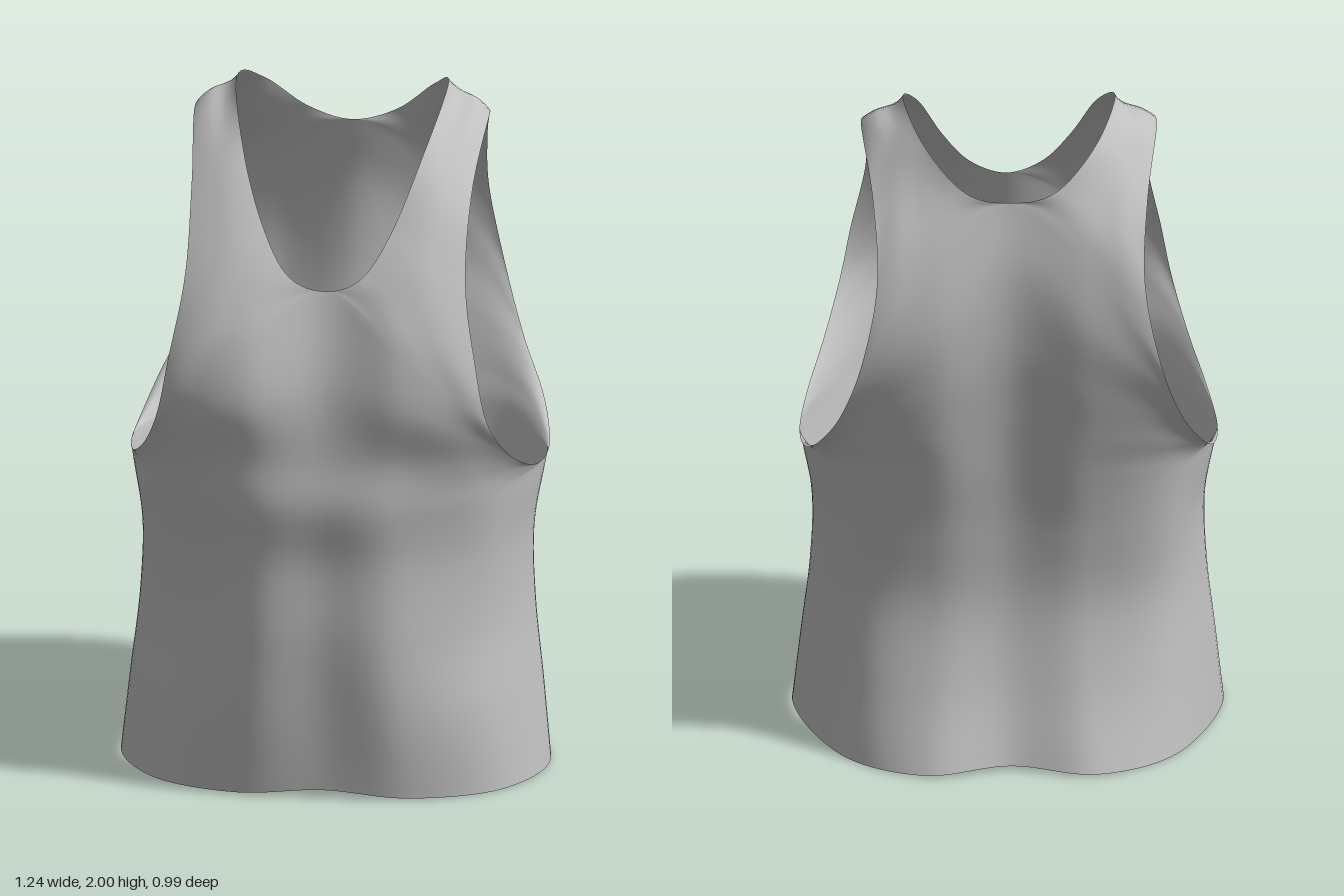
import * as THREE from 'three';
import { mergeVertices } from 'three/addons/utils/BufferGeometryUtils.js';

const ROWS = 12;    // guide stations from hem (0) to shoulder seam (11)
const ARMPIT = 4;   // station where the side seam opens into the armhole
const STEPS_V = 8, STEPS_U = 10;

const points = (...n) => {
  const out = [];
  for (let i = 0; i < n.length; i += 3) out.push(new THREE.Vector3(n[i], n[i + 1], n[i + 2]));
  return out;
};
const flipX = (p) => new THREE.Vector3(-p.x, p.y, p.z);
// continues the line b -> a beyond a
const beyond = (a, b) => a.clone().multiplyScalar(2).sub(b);
// continues the bend c -> b -> a beyond a
const beyondBend = (a, b, c) => a.clone().sub(b).multiplyScalar(3).add(c);

function spline(p0, p1, p2, p3, t) {
  const f = (a, b, c, d) =>
    b + 0.5 * t * (c - a + t * (2 * a - 5 * b + 4 * c - d + t * (3 * (b - c) + d - a)));
  return new THREE.Vector3(f(p0.x, p1.x, p2.x, p3.x), f(p0.y, p1.y, p2.y, p3.y), f(p0.z, p1.z, p2.z, p3.z));
}

// side seam shared by the front and back panels
const seam = [0.62, 0.01, 0.05, 0.595, 0.25, 0.02, 0.57, 0.48, 0, 0.565, 0.7, -0.01, 0.6, 0.915, -0.03];
const strapTop = [[0.305, 2, -0.12], [0.337, 1.963, -0.12], [0.388, 1.945, -0.12], [0.425, 1.912, -0.12]];

// each panel: four upright guides from centre / neckline out to side / armhole
const front = {
  neck: 7,
  guides: [
    points(0, 0.03, 0.435, 0, 0.27, 0.452, 0, 0.5, 0.465, 0, 0.72, 0.462, 0, 0.9, 0.487, 0, 1.04, 0.471,
      0, 1.26, 0.447, 0, 1.53, 0.365, 0.105, 1.57, 0.362, 0.185, 1.69, 0.29, 0.255, 1.86, 0.15, ...strapTop[0]),
    points(0.25, 0.012, 0.43, 0.23, 0.25, 0.455, 0.22, 0.48, 0.458, 0.22, 0.72, 0.452, 0.22, 0.9, 0.47, 0.22, 1.04, 0.469,
      0.22, 1.21, 0.497, 0.22, 1.38, 0.467, 0.235, 1.5, 0.415, 0.265, 1.65, 0.325, 0.305, 1.84, 0.16, ...strapTop[1]),
    points(0.505, 0.005, 0.305, 0.48, 0.24, 0.3, 0.465, 0.47, 0.268, 0.465, 0.7, 0.27, 0.465, 0.91, 0.318, 0.435, 1.02, 0.385,
      0.405, 1.14, 0.45, 0.385, 1.26, 0.472, 0.35, 1.41, 0.447, 0.335, 1.6, 0.345, 0.355, 1.81, 0.168, ...strapTop[2]),
    points(...seam, 0.575, 0.945, 0.15, 0.522, 1.04, 0.32, 0.476, 1.17, 0.432, 0.445, 1.33, 0.437,
      0.405, 1.56, 0.347, 0.405, 1.78, 0.168, ...strapTop[3]),
  ],
};
const back = {
  neck: 8,
  guides: [
    points(0, 0.02, -0.43, 0, 0.25, -0.36, 0, 0.48, -0.322, 0, 0.72, -0.335, 0, 0.95, -0.37, 0, 1.13, -0.4,
      0, 1.35, -0.428, 0, 1.58, -0.425, 0, 1.785, -0.382, 0.13, 1.82, -0.388, 0.245, 1.93, -0.31, ...strapTop[0]),
    points(0.25, 0.01, -0.47, 0.23, 0.24, -0.385, 0.22, 0.48, -0.335, 0.22, 0.71, -0.355, 0.22, 0.93, -0.4, 0.23, 1.07, -0.432,
      0.22, 1.24, -0.465, 0.22, 1.43, -0.482, 0.22, 1.64, -0.447, 0.25, 1.76, -0.4, 0.305, 1.91, -0.285, ...strapTop[1]),
    points(0.485, 0.005, -0.315, 0.465, 0.24, -0.28, 0.455, 0.48, -0.253, 0.46, 0.7, -0.27, 0.47, 0.91, -0.305, 0.455, 1.02, -0.365,
      0.42, 1.14, -0.427, 0.385, 1.29, -0.48, 0.345, 1.48, -0.49, 0.33, 1.68, -0.437, 0.355, 1.86, -0.295, ...strapTop[2]),
    points(...seam, 0.59, 0.93, -0.19, 0.555, 1.0, -0.325, 0.49, 1.13, -0.425, 0.428, 1.33, -0.49,
      0.385, 1.57, -0.47, 0.395, 1.78, -0.345, ...strapTop[3]),
  ],
};

// adds outer helper guides so the panels join smoothly at centre and side seam
function withHelpers(panel, other) {
  const [c, a, b, s] = panel.guides;
  const inner = c.map((p, i) => (i <= panel.neck ? flipX(a[i]) : beyondBend(p, a[i], b[i])));
  const outer = s.map((p, i) => (i <= ARMPIT ? other.guides[2][i].clone() : beyondBend(p, b[i], a[i])));
  return [inner, c, a, b, s, outer];
}

// point on a guide; at its corner station the guide turns, leaving as if it came from corner.before
function along(guide, next, row, t, corner) {
  const p1 = guide[row], p2 = guide[row + 1];
  let p0 = row === 0 ? beyond(p1, p2) : guide[row - 1];
  let p3 = row + 2 < ROWS ? guide[row + 2] : next[ROWS - 2];
  if (corner && row === corner.row) p0 = corner.before;
  if (corner && row + 1 === corner.row) p3 = beyond(p2, p1);
  return spline(p0, p1, p2, p3, t);
}

function addPanel(panel, other, positions, indices) {
  const guides = withHelpers(panel, other), otherGuides = withHelpers(other, panel);
  const neckCorner = { row: panel.neck, before: flipX(guides[1][panel.neck + 1]) };
  const armCorner = { row: ARMPIT, before: otherGuides[4][ARMPIT + 1] };
  const corners = [null, neckCorner, null, null, armCorner, null];
  const grid = [];
  const total = (ROWS - 1) * STEPS_V;
  for (let j = 0; j <= total; j++) {
    const row = Math.min(Math.floor(j / STEPS_V), ROWS - 2);
    const k = guides.map((g, i) => along(g, otherGuides[i], row, j / STEPS_V - row, corners[i]));
    for (let i = 0; i <= 3 * STEPS_U; i++) {
      const span = Math.min(Math.floor(i / STEPS_U), 2);
      grid.push(spline(k[span], k[span + 1], k[span + 2], k[span + 3], i / STEPS_U - span));
    }
  }
  // left half, then its mirror image
  const width = 3 * STEPS_U + 1;
  for (const side of [1, -1]) {
    const base = positions.length / 3;
    const outward = (side > 0) === (panel === front);
    for (const p of grid) positions.push(side * p.x, p.y, p.z);
    for (let j = 0; j < total; j++) for (let i = 0; i < width - 1; i++) {
      const a = base + j * width + i, b = a + 1, c = b + width, d = a + width;
      if (outward) indices.push(a, b, c, a, c, d);
      else indices.push(a, c, b, a, d, c);
    }
  }
}

export function createModel() {
  const fabric = new THREE.MeshStandardMaterial({ color: 0xc0c0c0, side: THREE.DoubleSide });
  fabric.name = 'grey fabric';

  // front and back panels welded into one smooth sleeveless shell
  const positions = [], indices = [];
  addPanel(front, back, positions, indices);
  addPanel(back, front, positions, indices);
  let geometry = new THREE.BufferGeometry();
  geometry.setAttribute('position', new THREE.Float32BufferAttribute(positions, 3));
  geometry.setIndex(indices);
  geometry = mergeVertices(geometry, 1e-4);
  geometry.computeVertexNormals();

  const shirt = new THREE.Mesh(geometry, fabric);
  shirt.name = 'sleevelessShirt';
  const model = new THREE.Group();
  model.name = 'tankTop';
  model.add(shirt);
  return model;
}
